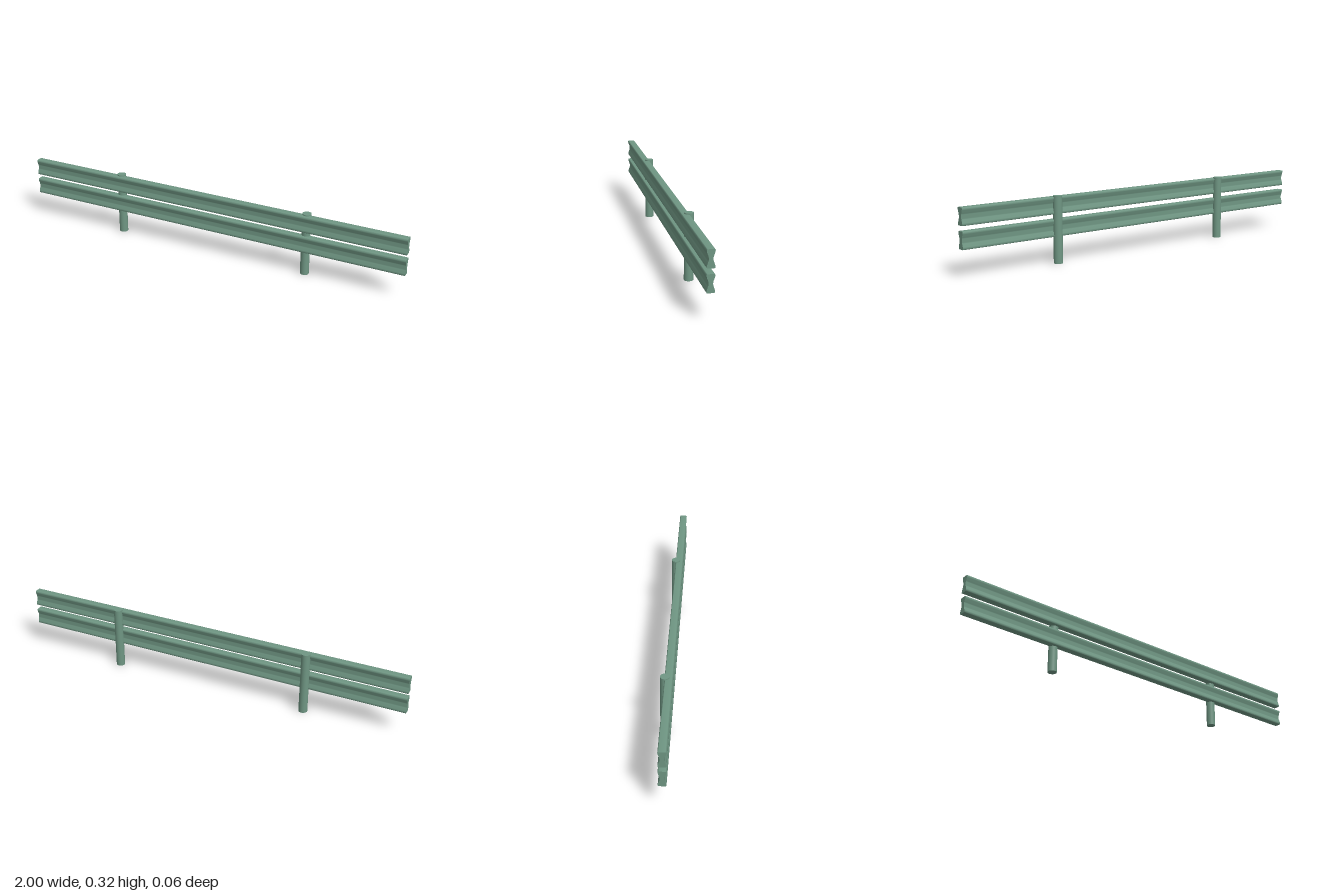
import * as THREE from 'three';
import { toCreasedNormals } from 'three/addons/utils/BufferGeometryUtils.js';

export function createModel() {
  const group = new THREE.Group();
  const green = new THREE.MeshStandardMaterial({ color: 0x6f9683 });
  green.name = 'muted green';

  // Rail cross-section: a waisted bar with rounded corners
  const w = 0.0185, h = 0.0405, waist = 0.0095;
  const profile = new THREE.Shape();
  profile.moveTo(-0.013, -h);
  profile.lineTo(0.013, -h);
  profile.bezierCurveTo(0.017, -h, 0.0195, -0.037, w - 0.0005, -0.033);
  profile.bezierCurveTo(0.016, -0.02, waist, -0.013, waist, 0);
  profile.bezierCurveTo(waist, 0.013, 0.016, 0.02, w - 0.0005, 0.033);
  profile.bezierCurveTo(0.0195, 0.037, 0.017, h, 0.013, h);
  profile.lineTo(-0.013, h);
  profile.bezierCurveTo(-0.017, h, -0.0195, 0.037, -w + 0.0005, 0.033);
  profile.bezierCurveTo(-0.016, 0.02, -waist, 0.013, -waist, 0);
  profile.bezierCurveTo(-waist, -0.013, -0.016, -0.02, -w + 0.0005, -0.033);
  profile.bezierCurveTo(-0.0195, -0.037, -0.017, -h, -0.013, -h);

  // Sweep the profile along x
  const extruded = new THREE.ExtrudeGeometry(profile, { depth: 2, bevelEnabled: false, curveSegments: 8 });
  extruded.translate(0, 0, -1).rotateY(Math.PI / 2);
  const railGeometry = toCreasedNormals(extruded, 0.8);

  for (const [name, y] of [['lowerRail', 0.1655], ['upperRail', 0.2705]]) {
    const rail = new THREE.Mesh(railGeometry, green);
    rail.name = name;
    rail.position.set(0, y, 0.0105);
    group.add(rail);
  }

  // Round posts set into the back of the rails
  const postGeometry = new THREE.CylinderGeometry(0.0215, 0.0215, 0.316, 32);
  for (const [name, x] of [['rightPost', -0.504], ['leftPost', 0.504]]) {
    const post = new THREE.Mesh(postGeometry, green);
    post.name = name;
    post.position.set(x, 0.158, -0.0068);
    group.add(post);
  }
  return group;
}
